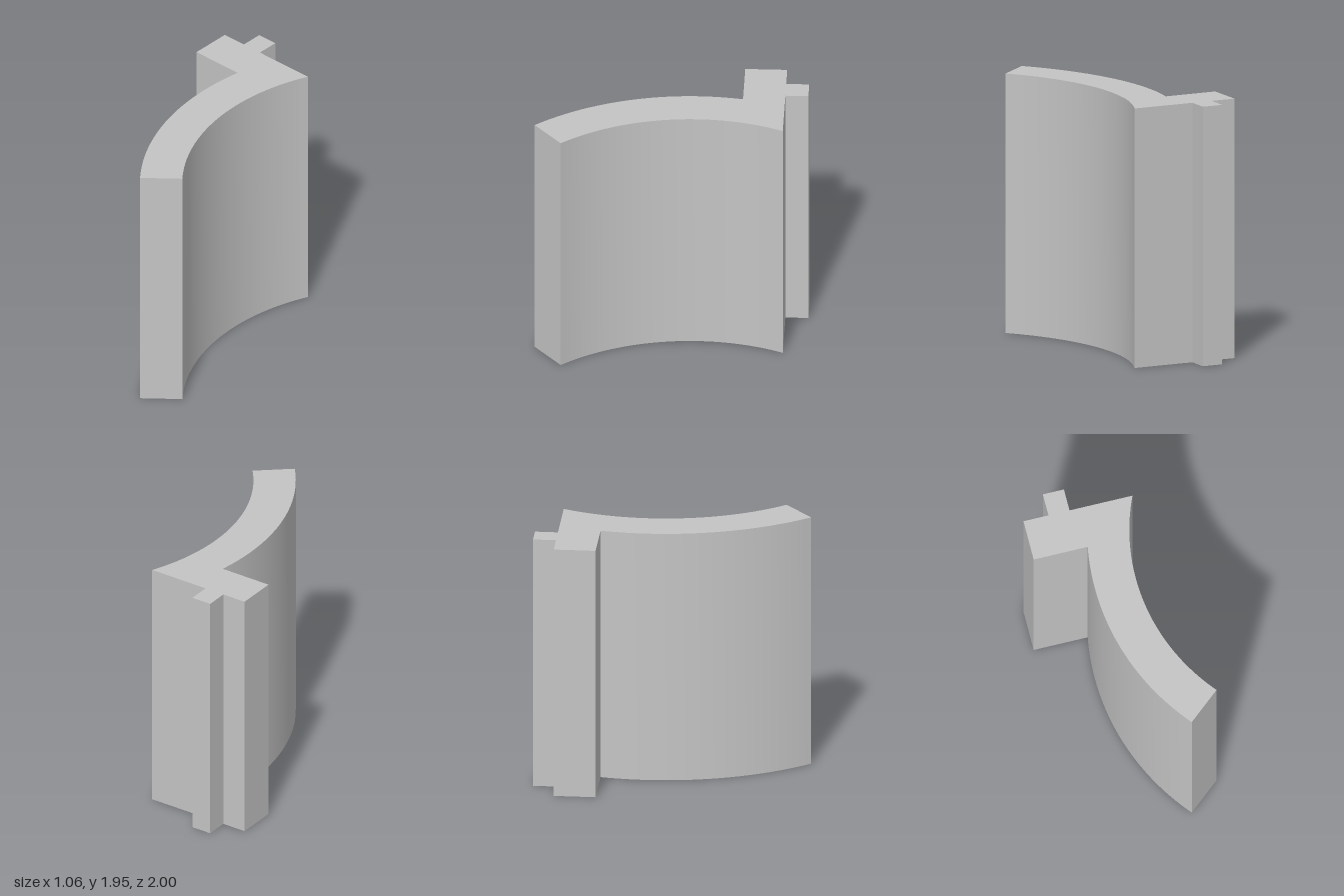
import * as THREE from 'three';
import { toCreasedNormals } from 'three/addons/utils/BufferGeometryUtils.js';

const HEIGHT = 1.95;
const CENTRE = [1.717, 0.2];          // shared centre of both arcs (shape y = -z)
const INNER = 1.552, OUTER = 1.864;

export function createModel() {
  const group = new THREE.Group();
  const grey = new THREE.MeshStandardMaterial({ color: 0xc4c4c4 });
  grey.name = 'light grey';

  const tip = Math.PI + 0.7;                             // free end of the curved wall
  const innerTop = Math.PI - Math.asin(0.63 / INNER);    // inner arc meets the flange back
  const outerTop = Math.PI - Math.asin(0.32 / OUTER);    // outer arc meets the flange front

  // Plan outline: concave face, stepped flange with rib, convex face
  const plan = new THREE.Shape();
  plan.absarc(...CENTRE, INNER, tip, innerTop, true);
  plan.lineTo(-0.18, 0.83);
  plan.lineTo(-0.18, 1);
  plan.lineTo(-0.34, 1);
  plan.lineTo(-0.34, 0.83);
  plan.lineTo(-0.53, 0.83);
  plan.lineTo(-0.53, 0.52);
  plan.absarc(...CENTRE, OUTER, outerTop, tip, false);
  plan.closePath();

  // Raise the outline to full height; smooth arcs, sharp corners
  const extruded = new THREE.ExtrudeGeometry(plan, { depth: HEIGHT, bevelEnabled: false, curveSegments: 20 });
  extruded.rotateX(-Math.PI / 2);
  const wall = new THREE.Mesh(toCreasedNormals(extruded, 0.3), grey);
  wall.name = 'curvedWallWithFlange';
  group.add(wall);
  return group;
}
